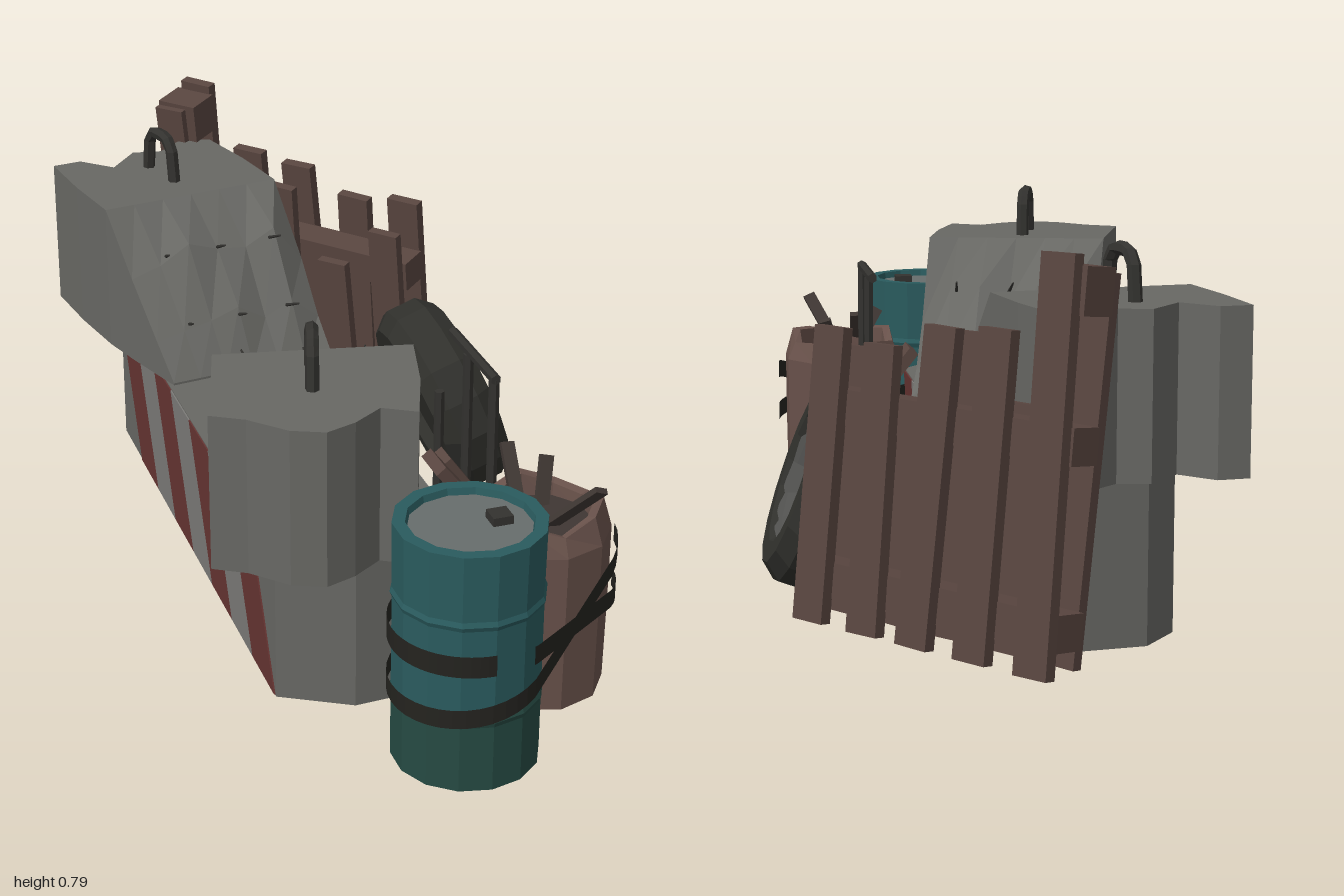
import * as THREE from 'three';

const mat = (color, double) => new THREE.MeshStandardMaterial({
  color, flatShading: true, side: double ? THREE.DoubleSide : THREE.FrontSide });
const CONCRETE = mat(0x686864), PALE = mat(0x7c7b78), RED = mat(0x663432);
const TEAL = mat(0x2a5b5e, true), GREEN = mat(0x264a43), LID = mat(0x676d6c);
const RUST = mat(0x68514a, true), SOOT = mat(0x3f3733), WOOD = mat(0x594640);
const RUBBER = mat(0x30302c), RIM = mat(0x50504e), IRON = mat(0x33322f), TAPE = mat(0x24231f, true);
const V = (x, y, z) => new THREE.Vector3(x, y, z);
const UP = V(0, 1, 0);

export function createModel() {
  const root = new THREE.Group();
  const add = (name, geo, material, parent = root) => {
    const m = new THREE.Mesh(geo, material);
    m.name = name;
    parent.add(m);
    return m;
  };
  // place a y-aligned piece so that it runs from a to b
  const between = (mesh, a, b) => {
    mesh.position.copy(a).add(b).multiplyScalar(0.5);
    mesh.quaternion.setFromUnitVectors(UP, b.clone().sub(a).normalize());
    return mesh;
  };
  const rod = (name, a, b, r, tip = r) =>
    between(add(name, new THREE.CylinderGeometry(tip, r, a.distanceTo(b), 6), IRON), a, b);
  const plank = (name, a, b, w, t, material) =>
    between(add(name, new THREE.BoxGeometry(w, a.distanceTo(b), t), material), a, b);

  // concrete base with clipped corners
  const outline = [[-0.32, -0.66], [-0.25, -0.75], [-0.05, -0.78], [0.06, -0.7],
    [0.06, 0.56], [0, 0.63], [-0.18, 0.64], [-0.32, 0.56]];
  const base = new THREE.ExtrudeGeometry(
    new THREE.Shape(outline.map(([x, z]) => new THREE.Vector2(x, -z))), { depth: 0.325, bevelEnabled: false });
  base.rotateX(-Math.PI / 2).translate(0, 0.015, 0);
  add('barrierBase', base, CONCRETE);

  // slanted warning stripes on both long sides
  for (const [x, slant] of [[0.06, 0.5], [-0.32, -0.5]]) {
    for (let s = 0; s < 7; s++) {
      const g = new THREE.BoxGeometry(0.006, 0.32, 0.15);
      const p = g.attributes.position;
      for (let i = 0; i < p.count; i++) p.setZ(i, p.getZ(i) + p.getY(i) * slant);
      add('warningStripe', g, s % 2 ? PALE : RED).position.set(x, 0.177, -0.5 + s * 0.15);
    }
  }

  // broken upper slabs: rows of [leftX, leftZ, rightX, rightZ, height], z rising
  const COLS = 7, FLOOR = 0.34;
  const slabGeometry = (rows, jag, jagRow) => {
    const grid = rows.map(([xl, zl, xr, zr, h], r) => Array.from({ length: COLS }, (_, c) => {
      const t = c / (COLS - 1);
      const x = xl + (xr - xl) * t, z = zl + (zr - zl) * t + (r === jagRow ? jag[c] : 0);
      const slope = h > 0.36 && h < 0.66;
      const rough = slope ? Math.sin(r * 5.1 + c * 2.3) * 0.022 - (c % (COLS - 1) ? 0 : 0.05) : 0;
      return { top: V(x, h + rough, z), low: V(x, FLOOR, z) };
    }));
    const pos = [];
    const quad = (a, b, c, d) => [a, b, c, a, c, d].forEach(v => pos.push(v.x, v.y, v.z));
    const rings = grid.map(row => [...row.map(p => p.low), ...row.map(p => p.top).reverse()]);
    const n = COLS * 2;
    for (let r = 0; r + 1 < rings.length; r++) {
      const a = rings[r], b = rings[r + 1];
      for (let i = 0; i < n; i++) quad(a[i], a[(i + 1) % n], b[(i + 1) % n], b[i]);
    }
    const first = grid[0], last = grid[grid.length - 1];
    for (let c = 0; c + 1 < COLS; c++) {
      quad(last[c].low, last[c + 1].low, last[c + 1].top, last[c].top);
      quad(first[c + 1].low, first[c].low, first[c].top, first[c + 1].top);
    }
    const g = new THREE.BufferGeometry();
    g.setAttribute('position', new THREE.Float32BufferAttribute(pos, 3));
    g.computeVertexNormals();
    return g;
  };
  const backRows = [
    [-0.44, -0.77, -0.05, -0.82, 0.67], [-0.42, -0.62, -0.01, -0.68, 0.67],
    [-0.39, -0.47, 0.02, -0.53, 0.67], [-0.36, -0.37, 0.05, -0.42, 0.58],
    [-0.33, -0.28, 0.06, -0.33, 0.45], [-0.31, -0.22, 0.07, -0.27, 0.345]];
  const frontRows = [
    [-0.27, 0, 0.1, 0.1, 0.35], [-0.3, 0.08, 0.08, 0.17, 0.45],
    [-0.33, 0.2, 0.05, 0.3, 0.56], [-0.37, 0.32, 0.02, 0.4, 0.67],
    [-0.41, 0.45, -0.02, 0.55, 0.67], [-0.45, 0.57, -0.07, 0.68, 0.67]];
  add('backSlab', slabGeometry(backRows, [0, 0, 0.07, 0.0, 0.02, -0.03, 0], 0), CONCRETE);
  add('frontSlab', slabGeometry(frontRows, [0, 0.02, 0.07, 0.08, 0.04, -0.02, 0], 5), CONCRETE);

  // bent bars poking out of the broken slopes
  const spikes = (rows, dir) => rows.forEach(([xl, zl, xr, zr, h]) => {
    for (const t of [0.2, 0.5, 0.8]) {
      const a = V(xl + (xr - xl) * t, h, zl + (zr - zl) * t);
      rod('rebarSpike', a, a.clone().add(V(0.03 * (t - 0.5), 0.03, 0.065 * dir)), 0.004, 0.002);
    }
  });
  spikes([backRows[3], backRows[4]], 1);
  spikes([frontRows[1], frontRows[2]], -1);

  // lifting handles
  for (const [z, lean] of [[0.475, 0.02], [-0.645, -0.02]]) {
    const pts = [[-0.055, 0.65], [-0.045, 0.74], [-0.025, 0.765], [0.025, 0.765], [0.045, 0.74], [0.055, 0.65]]
      .map(([d, y]) => V(-0.215 - lean * d * 15, y, z + d));
    const path = new THREE.CurvePath();
    for (let i = 0; i + 1 < pts.length; i++) path.add(new THREE.LineCurve3(pts[i], pts[i + 1]));
    add('liftingHandle', new THREE.TubeGeometry(path, 20, 0.014, 6), IRON);
  }

  // closed drum, greener towards the bottom
  const lathe = (pts, n) => new THREE.LatheGeometry(pts.map(([r, y]) => new THREE.Vector2(r, y)), n);
  const A = V(-0.028, 0, 0.845), B = V(0.2, 0, 0.647);
  add('drumLower', lathe([[0, 0.015], [0.145, 0.015], [0.145, 0.155], [0.148, 0.165], [0.145, 0.175]], 14), GREEN)
    .position.copy(A);
  add('drumUpper', lathe([[0.145, 0.175], [0.145, 0.365], [0.149, 0.375], [0.145, 0.385],
    [0.147, 0.522], [0.122, 0.522], [0.118, 0.505]], 14), TEAL).position.copy(A);
  add('drumLid', new THREE.CylinderGeometry(0.122, 0.122, 0.01, 14), LID).position.set(A.x, 0.503, A.z);
  add('drumCap', new THREE.BoxGeometry(0.04, 0.02, 0.04), IRON).position.set(0.03, 0.515, 0.845);

  // open drum with a torn, dented rim
  const torn = lathe([[0, 0.015], [0.136, 0.015], [0.139, 0.2], [0.14, 0.36], [0.122, 0.412],
    [0.104, 0.408], [0.1, 0.36]], 10);
  const tp = torn.attributes.position;
  for (let i = 0; i < tp.count; i++) {
    const a = Math.round(Math.atan2(tp.getZ(i), tp.getX(i)) * 10) / 10;
    if (tp.getY(i) > 0.4) tp.setY(i, tp.getY(i) + Math.sin(a * 3) * 0.015);
  }
  add('rustyDrum', torn, RUST).position.copy(B);
  add('drumFill', new THREE.CylinderGeometry(0.106, 0.106, 0.02, 10), SOOT).position.set(B.x, 0.365, B.z);
  for (const [a, b] of [[[0.2, 0.36, 0.66], [0.27, 0.49, 0.77]], [[0.18, 0.36, 0.64], [0.11, 0.46, 0.72]],
    [[0.17, 0.36, 0.62], [0.18, 0.48, 0.51]], [[0.22, 0.36, 0.6], [0.25, 0.46, 0.55]]])
    plank('drumDebris', V(...a), V(...b), 0.028, 0.012, SOOT);

  // torn tape strung across both drums
  const tape = (from, to, height, width) => {
    const steps = 24, pos = [], idx = [], start = Math.atan2(0.755, 0.656);
    for (let i = 0; i <= steps; i++) {
      const t = from + (to - from) * i / steps, a = start + t * Math.PI * 2;
      const c = t % 1 < 0.5 ? A : B, x = c.x + 0.153 * Math.cos(a), z = c.z + 0.153 * Math.sin(a);
      for (const s of [-0.5, 0.5]) pos.push(x, height(x) + s * width, z);
      if (i < steps) idx.push(2 * i, 2 * i + 1, 2 * i + 3, 2 * i, 2 * i + 3, 2 * i + 2);
    }
    const g = new THREE.BufferGeometry();
    g.setAttribute('position', new THREE.Float32BufferAttribute(pos, 3));
    g.setIndex(idx);
    g.computeVertexNormals();
    add('tape', g, TAPE);
  };
  const falling = x => 0.295 - 0.2 * x * (x > 0 ? 1 : 0);
  tape(0.88, 1.52, x => 0.195 + 0.2 * x + 0.5 * x * x, 0.04);
  tape(0.88, 1.02, falling, 0.04);
  tape(0.115, 0.52, falling, 0.045);

  // pipe railing along the left side
  for (const [a, b] of [
    [[0.17, 0.11, 0.46], [0.17, 0.11, -0.62]], [[0.17, 0.03, 0.46], [0.17, 0.6, 0.46]],
    [[0.17, 0.6, 0.47], [0.17, 0.6, 0.23]], [[0.17, 0.1, 0.32], [0.17, 0.59, 0.32]],
    [[0.17, 0.1, 0.16], [0.17, 0.43, 0.16]], [[0.05, 0.11, 0.32], [0.3, 0.11, 0.32]],
    [[0.05, 0.11, -0.47], [0.3, 0.11, -0.47]]])
    rod('railPipe', V(...a), V(...b), 0.011);

  // loose boards leaning on the railing
  plank('leaningBoard', V(0.365, 0.03, 0.425), V(0.06, 0.41, 0.42), 0.025, 0.09, WOOD);
  plank('leaningBoard', V(0.36, 0.03, 0.36), V(0.1, 0.39, 0.365), 0.02, 0.055, WOOD);

  // tyre leaning against the base
  const wheel = new THREE.Group();
  wheel.name = 'wheel';
  wheel.position.set(0.315, 0.231, -0.2);
  wheel.rotation.z = -1.22;
  add('tyre', lathe([[0, -0.045], [0.13, -0.045], [0.15, -0.07], [0.195, -0.07], [0.226, -0.035],
    [0.226, 0.035], [0.195, 0.07], [0.15, 0.07], [0.125, 0.045]], 16), RUBBER, wheel);
  add('wheelRim', lathe([[0.145, 0.062], [0.125, 0.052], [0.1, 0.03], [0.05, 0.038], [0, 0.038]], 12), RIM, wheel);
  root.add(wheel);

  // broken pallet standing at the back corner
  const pallet = new THREE.Group();
  pallet.name = 'pallet';
  pallet.position.set(0.155, 0, -0.71);
  pallet.rotation.set(0.12, -0.885, 0, 'YXZ');
  const board = (name, x, y0, y1, z, w, t, tilt = 0) => {
    const m = add(name, new THREE.BoxGeometry(w, y1 - y0, t), WOOD, pallet);
    m.position.set(x, (y0 + y1) / 2, z);
    m.rotation.z = tilt;
  };
  [0.79, 0.64, 0.63, 0.58, 0.6].forEach((h, i) => {
    const x = -0.285 + i * 0.1425, tilt = (i % 3 - 1) * 0.02;
    board('palletSlat', x, 0.02, h, -0.05, 0.08, 0.025, tilt);
    board('palletInnerSlat', x, 0.03, [0.76, 0.5, 0.62, 0.45, 0.56][i], 0.045, 0.075, 0.022, -tilt);
  });
  for (const y of [0.07, 0.41]) board('palletRail', 0, y, y + 0.07, -0.003, 0.66, 0.072);
  board('palletRailStub', -0.28, 0.68, 0.77, 0, 0.1, 0.08);
  root.add(pallet);

  return root;
}
